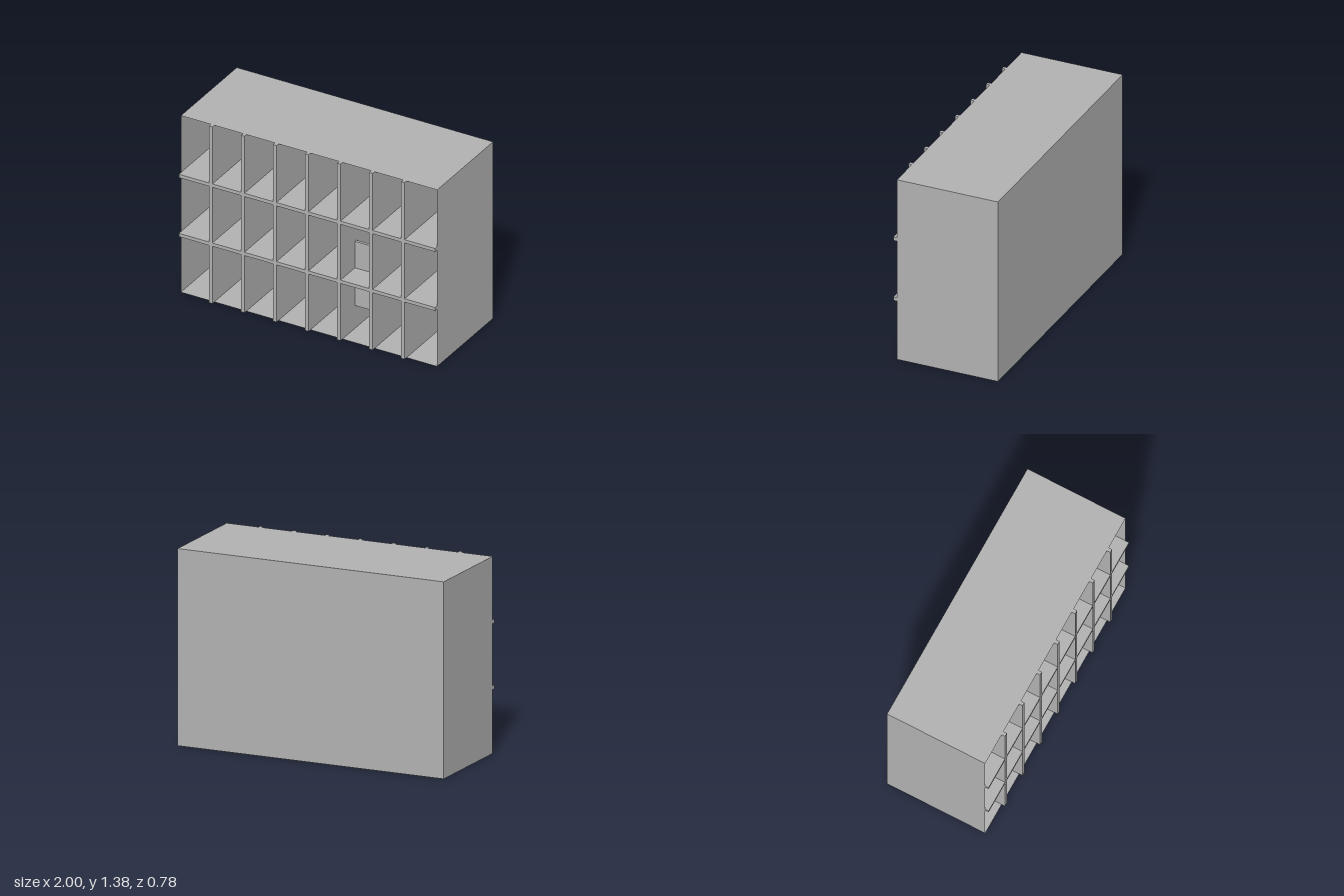
import * as THREE from 'three';

const W = 2, H = 1.376, BACK = -0.389, RIM = 0.363, FRONT = 0.389;
const T = 0.026; // board thickness

export function createModel() {
  const grey = new THREE.MeshStandardMaterial({ color: 0xb2b2b2, side: THREE.DoubleSide });
  grey.name = 'grey';
  const model = new THREE.Group();
  model.name = 'pigeonholeCabinet';

  const add = (name, geometry, x, y, z) => {
    const mesh = new THREE.Mesh(geometry, grey);
    mesh.name = name;
    mesh.position.set(x, y, z);
    model.add(mesh);
  };

  // thin outer shell, open at the front (the +z face is dropped)
  const shell = new THREE.BoxGeometry(W, H, RIM - BACK);
  const index = Array.from(shell.index.array);
  index.splice(24, 6);
  shell.setIndex(index);
  shell.clearGroups();
  add('shell', shell, 0, H / 2, (RIM + BACK) / 2);

  // full-depth boards that stand slightly proud of the rim
  const depth = FRONT - BACK, midZ = (FRONT + BACK) / 2;
  for (let i = -3; i <= 3; i++) {
    add('divider', new THREE.BoxGeometry(T, H, depth), i * 0.25 - 0.002, H / 2, midZ);
  }
  for (const y of [0.459, 0.919]) {
    add('shelf', new THREE.BoxGeometry(W, T, depth), 0, y, midZ);
  }

  // small upright panel set inside the compartments
  add('innerPanel', new THREE.BoxGeometry(0.35, 0.5, 0.02), 0.297, 0.428, 0.185);
  return model;
}
